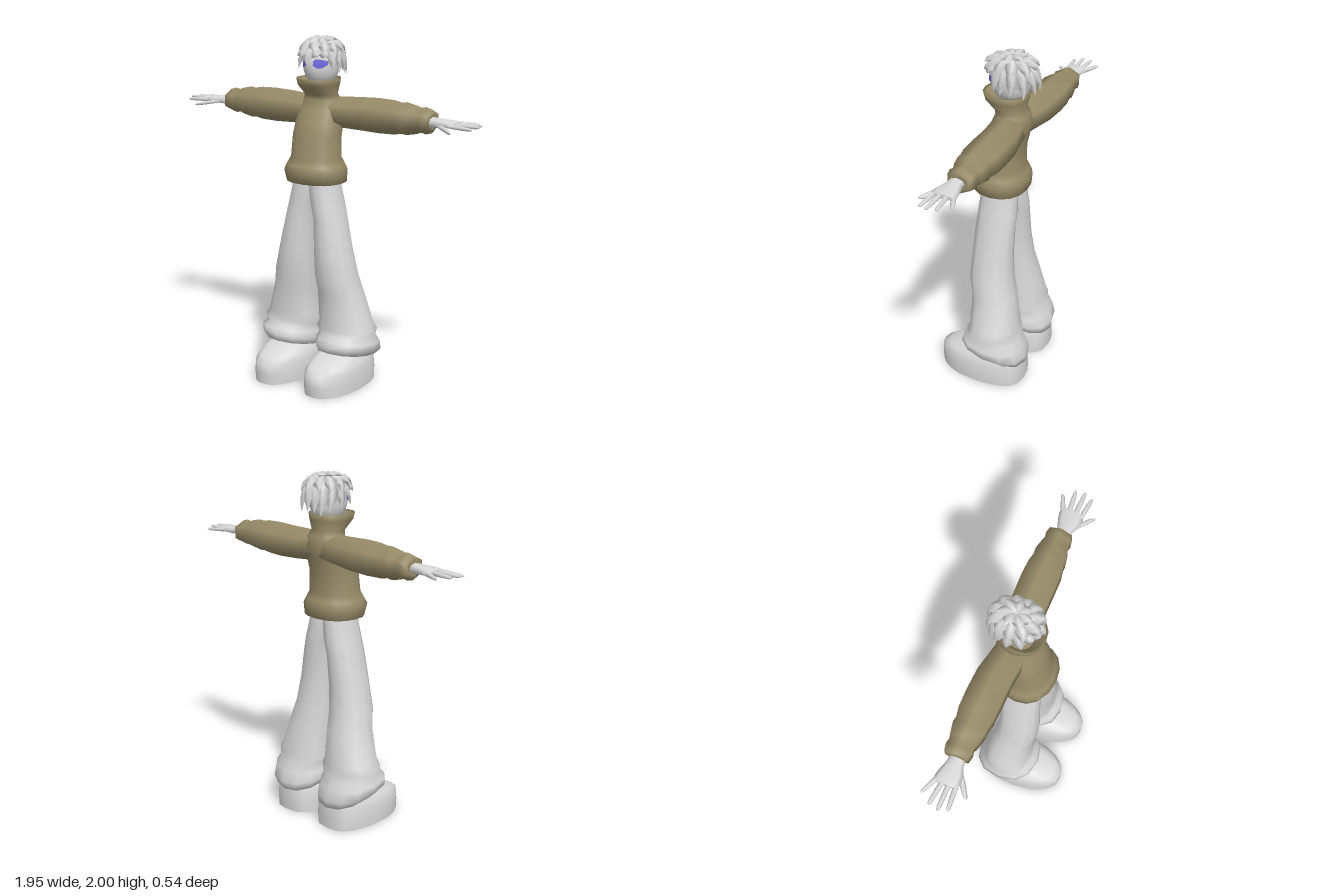
import * as THREE from 'three';

const white = new THREE.MeshStandardMaterial({ color: 0xd9d9d9, side: THREE.DoubleSide });
white.name = 'pale grey';
const wool = new THREE.MeshStandardMaterial({ color: 0x988c69 });
wool.name = 'olive wool';
const iris = new THREE.MeshStandardMaterial({ color: 0x655fd6 });
iris.name = 'violet blue';

// signed power, squares off a round cross-section
const sq = (v, p) => Math.sign(v) * Math.abs(v) ** p;

// closed cross-section of n points from a rule taking cos and sin
function ring(n, rule, start = 0) {
  return Array.from({ length: n }, (_, i) => {
    const a = start + (i / n) * Math.PI * 2;
    return rule(Math.cos(a), Math.sin(a));
  });
}

// skin over successive rings, with flat end caps, always facing outward
function loft(rings) {
  const n = rings[0].length, pos = rings.flat(2), idx = [];
  for (let r = 0; r < rings.length - 1; r++) {
    for (let i = 0; i < n; i++) {
      const a = r * n + i, b = r * n + (i + 1) % n;
      idx.push(a, b, b + n, a, b + n, a + n);
    }
  }
  [[rings[0], true], [rings[rings.length - 1], false]].forEach(([pts, first]) => {
    const base = pos.length / 3;
    pos.push(...pts.flat());
    pos.push(...[0, 1, 2].map(k => pts.reduce((s, p) => s + p[k], 0) / n));
    for (let i = 0; i < n; i++) {
      const a = base + i, b = base + (i + 1) % n;
      idx.push(base + n, ...(first ? [b, a] : [a, b]));
    }
  });
  const p = i => new THREE.Vector3().fromArray(pos, i * 3);
  let volume = 0;
  for (let i = 0; i < idx.length; i += 3) volume += p(idx[i]).dot(p(idx[i + 1]).cross(p(idx[i + 2])));
  if (volume < 0) idx.reverse();
  const g = new THREE.BufferGeometry();
  g.setAttribute('position', new THREE.Float32BufferAttribute(pos, 3));
  g.setIndex(idx);
  g.computeVertexNormals();
  return g;
}

function add(parent, name, geometry, material) {
  const m = new THREE.Mesh(geometry, material);
  m.name = name;
  parent.add(m);
  return m;
}

// sweater body and rolled collar: y, half width, front z, back z
function buildSweater(g) {
  const rows = [
    [1.2, 0.15, 0.1, -0.155], [1.19, 0.174, 0.122, -0.178], [1.255, 0.18, 0.145, -0.186],
    [1.29, 0.165, 0.125, -0.17], [1.325, 0.146, 0.105, -0.152], [1.45, 0.14, 0.09, -0.155],
    [1.53, 0.137, 0.06, -0.175], [1.6, 0.13, 0.022, -0.19], [1.65, 0.108, 0, -0.175],
    [1.68, 0.093, 0.012, -0.158], [1.735, 0.113, 0.068, -0.17], [1.772, 0.12, 0.078, -0.174],
    [1.768, 0.102, 0.06, -0.158], [1.7, 0.07, 0.01, -0.13],
  ];
  add(g, 'sweater', loft(rows.map(([y, w, f, b]) =>
    ring(16, (c, s) => [w * sq(c, 0.88), y, (f + b) / 2 + sq(s, 0.88) * (f - b) / 2]))), wool);
}

// sleeve along x: x, half height, half depth, centre z
function buildSleeve(g, side) {
  const rows = [
    [0.02, 0.085, 0.085, -0.09], [0.12, 0.088, 0.095, -0.1], [0.22, 0.093, 0.1, -0.115],
    [0.35, 0.098, 0.102, -0.118], [0.45, 0.095, 0.1, -0.118], [0.5, 0.086, 0.09, -0.118],
    [0.53, 0.09, 0.092, -0.12], [0.59, 0.078, 0.08, -0.12], [0.62, 0.068, 0.07, -0.122],
    [0.645, 0.074, 0.076, -0.122], [0.685, 0.064, 0.068, -0.122], [0.692, 0.045, 0.05, -0.122],
  ];
  add(g, 'sleeve', loft(rows.map(([x, h, d, z]) =>
    ring(6, (c, s) => [side * x, 1.58 + h * s, z + d * 1.1 * c], Math.PI / 2))), wool);
}

function buildHand(g, side) {
  const hand = new THREE.Group();
  hand.name = side > 0 ? 'leftHand' : 'rightHand';
  g.add(hand);
  const section = (n, [x, y, z], h, d) => ring(n, (c, s) => [side * x, y + h * s, z + d * c]);
  const palm = [[0.67, 0.03, 0.042, -0.115], [0.72, 0.027, 0.046, -0.112],
    [0.77, 0.022, 0.064, -0.11], [0.81, 0.018, 0.07, -0.113], [0.84, 0.014, 0.062, -0.115]];
  add(hand, 'palm', loft(palm.map(([x, h, d, z]) => section(8, [x, 1.578, z], h, d))), white);
  // base and tip of each finger
  const fingers = [
    [[0.81, 1.576, -0.062], [0.955, 1.57, -0.048]], [[0.82, 1.578, -0.097], [0.975, 1.578, -0.095]],
    [[0.82, 1.578, -0.132], [0.965, 1.578, -0.148]], [[0.81, 1.576, -0.162], [0.92, 1.574, -0.208]],
    [[0.74, 1.572, -0.08], [0.86, 1.55, 0.006]],
  ];
  fingers.forEach(([a, b], i) => {
    const at = t => a.map((v, k) => v + (b[k] - v) * t);
    const w = i === 4 ? 0.02 : 0.0145;
    add(hand, i === 4 ? 'thumb' : 'finger', loft([[0, 1], [0.5, 0.95], [0.9, 0.75], [1, 0.35]]
      .map(([t, k]) => section(6, at(t), 0.012 * k, w * k))), white);
  });
}

// flared trouser leg with tilted cuff: y, inner x, outer x, front z, back z, tilt
function buildLeg(g, side) {
  const rows = [
    [1.23, -0.03, 0.13, 0.065, -0.13, 0], [1.15, -0.03, 0.142, 0.073, -0.138, 0],
    [1.06, -0.012, 0.162, 0.08, -0.147, 0], [0.98, 0.01, 0.18, 0.085, -0.145, 0],
    [0.8, 0.016, 0.222, 0.092, -0.142, 0], [0.65, 0.022, 0.257, 0.096, -0.155, 0],
    [0.55, 0.024, 0.283, 0.07, -0.176, 0], [0.37, 0.028, 0.333, 0.07, -0.21, 0],
    [0.335, 0.01, 0.362, 0.075, -0.216, 0.03], [0.302, 0.03, 0.346, 0.08, -0.225, 0.08],
    [0.27, 0.018, 0.372, 0.108, -0.25, 0.14], [0.228, 0.012, 0.37, 0.12, -0.268, 0.2],
    [0.192, 0.03, 0.325, 0.118, -0.266, 0.23], [0.2, 0.06, 0.29, 0.08, -0.22, 0.22],
  ];
  add(g, 'trouserLeg', loft(rows.map(([y, a, b, f, k, tilt]) => ring(12, (c, s) => {
    const z = (f + k) / 2 + sq(s, 0.85) * (f - k) / 2;
    return [side * ((a + b) / 2 + sq(c, 0.85) * (b - a) / 2), y + tilt * z, z];
  }))), white);
}

// chunky shoe, narrower at the toe: y, half width, front z, back z
function buildShoe(g, side) {
  const rows = [
    [0, 0.155, 0.268, -0.256], [0.06, 0.157, 0.272, -0.258], [0.122, 0.15, 0.27, -0.256],
    [0.15, 0.14, 0.225, -0.25], [0.178, 0.126, 0.155, -0.24], [0.205, 0.105, 0.085, -0.225],
    [0.22, 0.08, 0.04, -0.2],
  ];
  add(g, 'shoe', loft(rows.map(([y, w, f, b]) => ring(20, (c, s) => {
    const z = (f + b) / 2 + sq(s, 0.75) * (f - b) / 2;
    const taper = 1 - 0.35 * Math.max(0, z / 0.27) ** 2;
    return [side * (0.175 + w * taper * sq(c, 0.65)), y, z];
  }))), white);
}

// one pointed, flattened lock of hair bending from root through middle to tip
function lock(g, root, mid, tip, width) {
  const curve = new THREE.QuadraticBezierCurve3(root, mid, tip);
  const centre = new THREE.Vector3(0, 1.86, -0.08);
  const rings = [[0, 0.6], [0.35, 1], [0.7, 0.7], [1, 0.03]].map(([t, k]) => {
    const p = curve.getPoint(t), dir = curve.getTangent(t);
    const out = p.clone().sub(centre).normalize();
    const across = dir.clone().cross(out).normalize();
    const up = across.clone().cross(dir);
    return ring(4, (c, s) => p.clone().addScaledVector(across, c * width * k)
      .addScaledVector(up, s * width * 0.45 * k).toArray());
  });
  add(g, 'hairLock', loft(rings), white);
}

function buildHead(g) {
  const head = new THREE.Group();
  head.name = 'head';
  g.add(head);
  const R = [0.094, 0.125, 0.115], C = [0, 1.84, -0.073];
  const skull = new THREE.SphereGeometry(1, 20, 14).scale(...R).translate(...C);
  add(head, 'face', skull, white);
  add(head, 'neck', new THREE.CylinderGeometry(0.05, 0.055, 0.12, 10).translate(0, 1.71, -0.075), white);

  // eyes follow the curve of the face
  for (const side of [-1, 1]) {
    const eye = new THREE.CircleGeometry(1, 8, Math.PI / 8).scale(0.033, 0.029, 1)
      .translate(side * 0.053, 1.86, 0);
    const p = eye.attributes.position;
    for (let i = 0; i < p.count; i++) {
      const u = p.getX(i) / R[0], v = (p.getY(i) - C[1]) / R[1];
      p.setZ(i, C[2] + R[2] * Math.sqrt(Math.max(0, 1 - u * u - v * v)) + 0.006);
    }
    eye.computeVertexNormals();
    add(head, side > 0 ? 'leftEye' : 'rightEye', eye, iris);
  }

  // hair cap tipped back, then three layers of locks
  const cap = new THREE.SphereGeometry(1, 16, 10, 0, Math.PI * 2, 0, Math.PI * 0.55)
    .rotateX(-0.32).scale(0.108, 0.112, 0.132).translate(0, 1.868, -0.083);
  add(head, 'hairCap', cap, white);
  const at = (a, r, y) => new THREE.Vector3(0.108 * r * Math.sin(a), y, -0.083 + 0.135 * r * Math.cos(a));
  const layers = [[16, 0.8, 1.94, 1.1, 1.9, 1.16, 0.036], [11, 0.45, 1.97, 0.95, 1.965, 1.15, 0.04],
    [7, 0.1, 1.975, 0.4, 1.99, 0.78, 0.036]];
  layers.forEach(([n, r0, y0, r1, y1, r2, w], layer) => {
    for (let i = 0; i < n; i++) {
      const a = ((i + layer * 0.4) / n) * Math.PI * 2, jig = Math.sin(i * 7.3 + layer * 2.1);
      const front = Math.cos(a);
      let y2 = [front > 0.65 ? 1.89 : front > -0.4 ? 1.81 : 1.785, 1.9, 1.975][layer] + jig * 0.014;
      if (layer === 0 && i === 0) y2 = 1.855;
      if (layer === 1 && front > 0.5) y2 += 0.02;
      lock(head, at(a, r0, y0), at(a, r1, y1), at(a + jig * 0.14, r2, y2), w);
    }
  });
}

export function createModel() {
  const g = new THREE.Group();
  g.name = 'standingFigure';
  buildSweater(g);
  buildHead(g);
  for (const side of [-1, 1]) {
    buildSleeve(g, side);
    buildHand(g, side);
    buildLeg(g, side);
    buildShoe(g, side);
  }
  return g;
}
